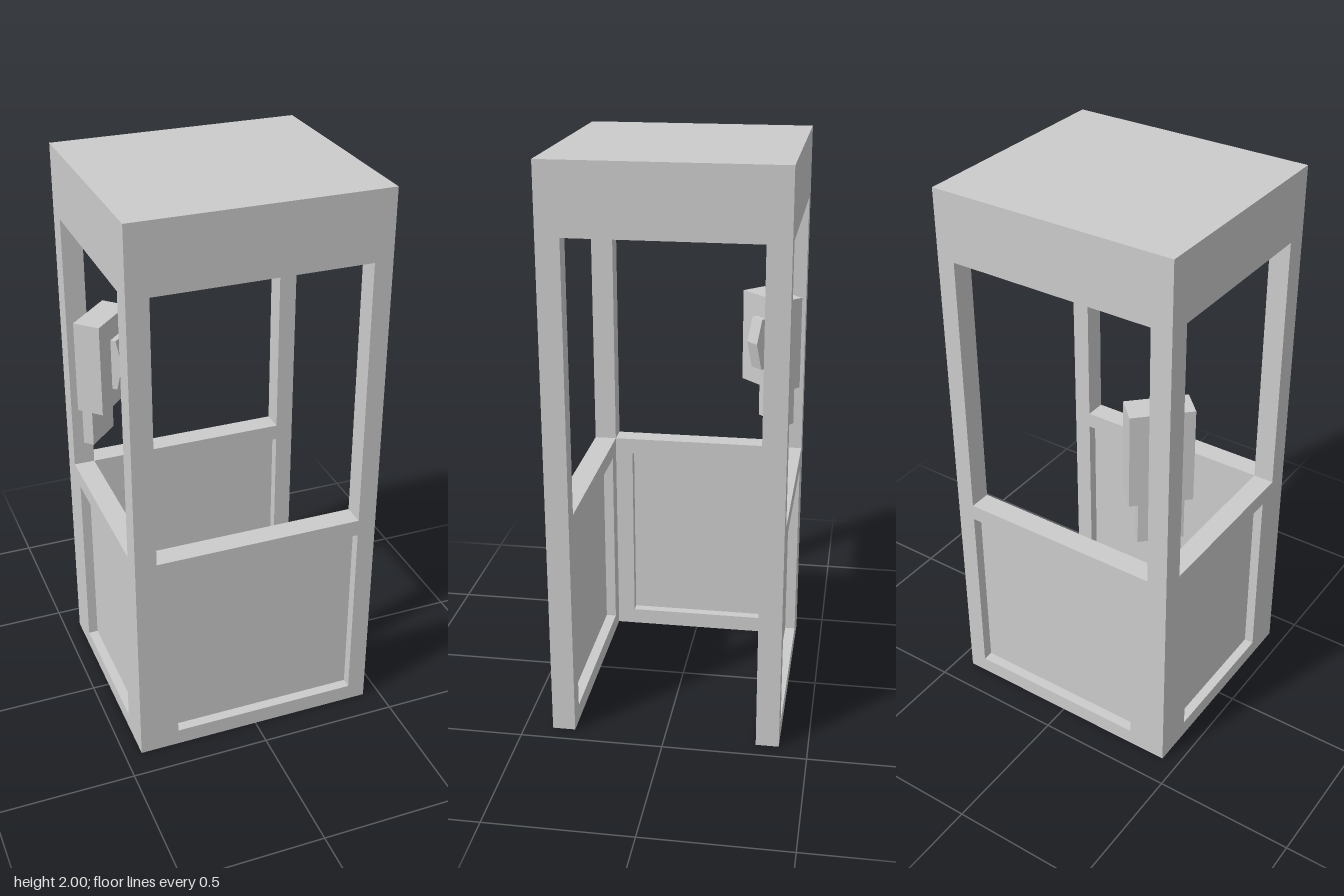
import * as THREE from 'three';

const mat = new THREE.MeshStandardMaterial({ color: 0xcccccc, flatShading: true, side: THREE.DoubleSide });

function mesh(name, geometry, parent, x = 0, y = 0, z = 0) {
  const m = new THREE.Mesh(geometry, mat);
  m.name = name;
  m.position.set(x, y, z);
  parent.add(m);
  return m;
}

// Box given by its lower and upper corners
function boxBetween(name, [x0, y0, z0], [x1, y1, z1], parent) {
  return mesh(name, new THREE.BoxGeometry(x1 - x0, y1 - y0, z1 - z0), parent,
    (x0 + x1) / 2, (y0 + y1) / 2, (z0 + z1) / 2);
}

function trace(path, x0, y0, x1, y1) {
  path.moveTo(x0, y0);
  path.lineTo(x1, y0);
  path.lineTo(x1, y1);
  path.lineTo(x0, y1);
  path.closePath();
  return path;
}

// Rectangular slab pierced by rectangular holes, centred on its thickness
function frame(outline, holes, depth) {
  const shape = trace(new THREE.Shape(), ...outline);
  for (const h of holes) shape.holes.push(trace(new THREE.Path(), ...h));
  return new THREE.ExtrudeGeometry(shape, { depth, bevelEnabled: false }).translate(0, 0, -depth / 2);
}

export function createModel() {
  const booth = new THREE.Group();
  booth.name = 'booth';

  // Front and back walls: window above, thin recessed panel below
  for (const [side, s] of [['front', 1], ['back', -1]]) {
    const wall = new THREE.Group();
    wall.name = side + 'Wall';
    wall.position.z = s * 0.36;
    booth.add(wall);
    mesh(side + 'Frame', frame([-0.44, 0, 0.44, 2],
      [[-0.365, 0.8, 0.375, 1.76], [-0.3, 0.06, 0.375, 0.74]], 0.08), wall);
    boxBetween(side + 'Panel', [-0.3, 0.06, -0.003], [0.375, 0.74, 0.003], wall);
  }

  // Right wall: low framed panel under a full-width window
  const rightWall = new THREE.Group();
  rightWall.name = 'rightWall';
  rightWall.position.x = -0.4025;
  booth.add(rightWall);
  mesh('rightFrame', frame([-0.32, 0, 0.32, 0.8], [[-0.255, 0.06, 0.255, 0.74]], 0.075), rightWall)
    .rotation.y = Math.PI / 2;
  boxBetween('rightPanel', [-0.003, 0.06, -0.255], [0.003, 0.74, 0.255], rightWall);

  // Headers over the right window and the open left doorway, and the thin roof
  boxBetween('rightHeader', [-0.44, 1.76, -0.32], [-0.365, 2, 0.32], booth);
  boxBetween('doorHeader', [0.375, 1.76, -0.32], [0.44, 2, 0.32], booth);
  boxBetween('roof', [-0.365, 1.994, -0.32], [0.375, 2, 0.32], booth);

  // Telephone set diagonally across the back right corner
  const phone = new THREE.Group();
  phone.name = 'telephone';
  phone.position.set(-0.29, 0, -0.245);
  phone.rotation.y = Math.PI / 4;
  booth.add(phone);
  boxBetween('phoneBody', [-0.106, 1.07, -0.1], [0.106, 1.41, 0], phone);
  boxBetween('phoneBase', [-0.077, 0.92, -0.1], [0.077, 1.07, -0.06], phone);

  // Handset: side profile with its peak at mid height, extruded across its width
  const profile = new THREE.Shape([[0, 1.14], [0.02, 1.14], [0.043, 1.24], [0.02, 1.33], [0, 1.33]]
    .map(([z, y]) => new THREE.Vector2(-z, y)));
  const handset = new THREE.ExtrudeGeometry(profile, { depth: 0.056, bevelEnabled: false })
    .translate(0, 0, -0.028).rotateY(Math.PI / 2);
  mesh('handset', handset, phone);

  return booth;
}
